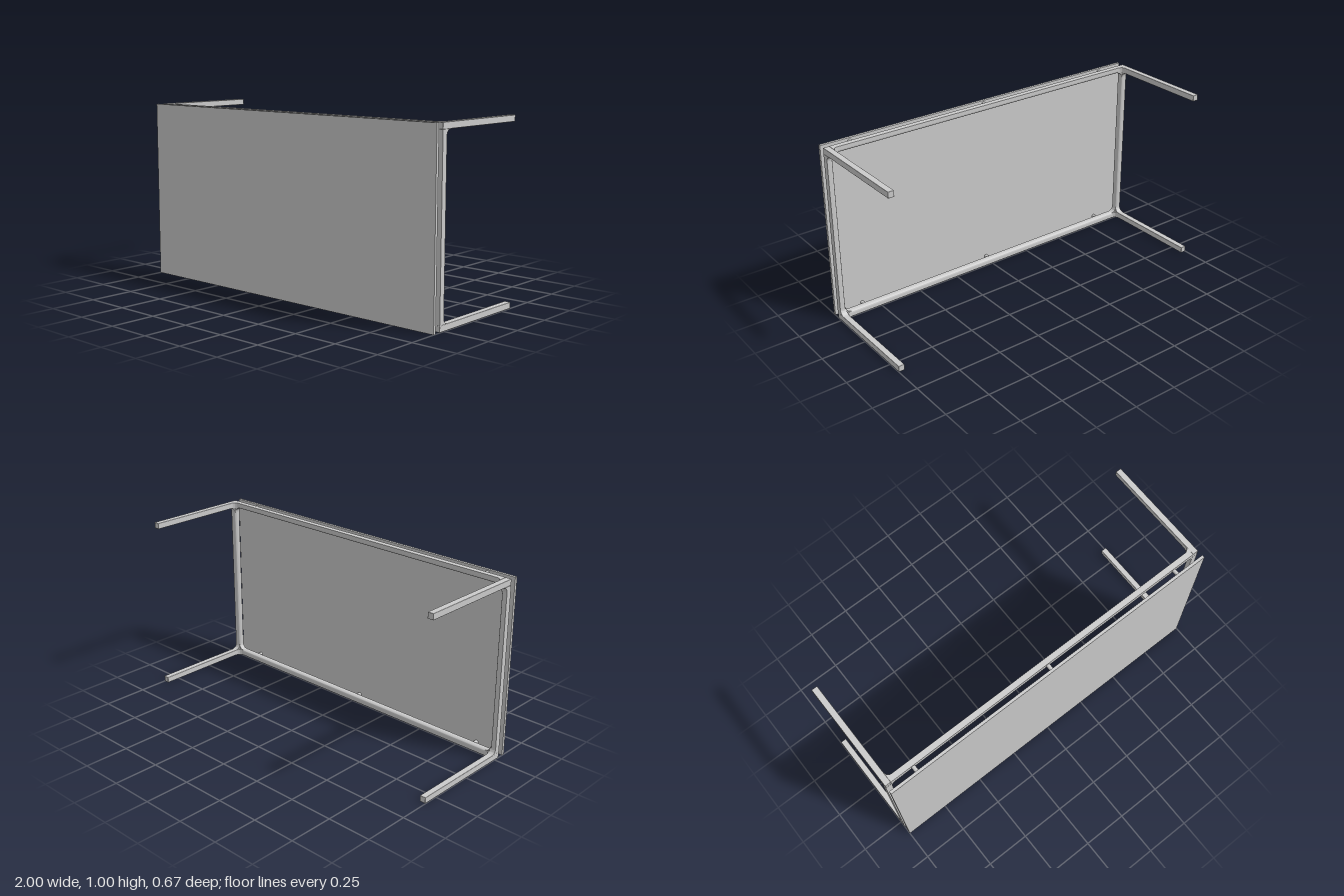
import * as THREE from 'three';
import { RoundedBoxGeometry } from 'three/addons/geometries/RoundedBoxGeometry.js';
import { toCreasedNormals } from 'three/addons/utils/BufferGeometryUtils.js';

const T = 0.034;                    // bar thickness
const FRONT = 0.285, BACK = 0.253;  // rail depth range
const LEG_END = -0.333;
const R = 0.03;                     // corner fillet radius

export function createModel() {
  const model = new THREE.Group();
  model.name = 'table';
  const material = new THREE.MeshStandardMaterial({ color: 0xcccccc });

  const add = (parent, name, geometry, x, y, z) => {
    const mesh = new THREE.Mesh(geometry, material);
    mesh.name = name;
    mesh.position.set(x, y, z);
    parent.add(mesh);
    return mesh;
  };
  const extrude = (shape, depth) => toCreasedNormals(
    new THREE.ExtrudeGeometry(shape, { depth, bevelEnabled: false, curveSegments: 8 }), 0.6);

  // Thin table top, standing upright
  add(model, 'tableTop', new THREE.BoxGeometry(2, 1, 0.016), 0, 0.5, 0.325);

  // Rail section with its inner edge rounded
  const d = FRONT - BACK, e = 0.014;
  const railShape = new THREE.Shape();
  railShape.moveTo(0, 0);
  railShape.lineTo(d, 0);
  railShape.lineTo(d, T - e);
  railShape.absarc(d - e, T - e, e, 0, Math.PI / 2, false);
  railShape.lineTo(0, T);

  // Concave fillet between two bars
  const filletShape = new THREE.Shape();
  filletShape.moveTo(0, 0);
  filletShape.lineTo(R, 0);
  filletShape.absarc(R, R, R, -Math.PI / 2, -Math.PI, true);
  filletShape.lineTo(0, 0);

  // Each corner carries a leg, its fillets and the rail to the next corner
  const corners = [[-1, 0, 2], [1, 0, 1], [1, 1, 2], [-1, 1, 1]];
  corners.forEach(([x, y, length], i) => {
    const corner = new THREE.Group();
    corner.name = 'frameCorner' + (i + 1);
    corner.position.set(x, y, 0);
    corner.rotation.z = i * Math.PI / 2;
    model.add(corner);

    add(corner, 'leg', new RoundedBoxGeometry(T, T, FRONT - LEG_END, 2, 0.003),
      T / 2, T / 2, (FRONT + LEG_END) / 2);
    add(corner, 'rail', extrude(railShape, length - 2 * T).rotateY(Math.PI / 2), T, 0, FRONT);

    add(corner, 'railFillet', extrude(filletShape, d), T, T, BACK);
    add(corner, 'legFilletAlongRail', extrude(filletShape, T).rotateX(-Math.PI / 2), T, 0, BACK);
    add(corner, 'legFilletAcrossRail', extrude(filletShape, T).rotateY(Math.PI / 2), 0, T, BACK);
  });

  // Round spacers holding the top off the frame
  for (const x of [-0.835, 0, 0.835]) {
    for (const y of [0.018, 0.982]) {
      add(model, 'spacer', new THREE.CylinderGeometry(0.011, 0.011, 0.034, 20).rotateX(Math.PI / 2),
        x, y, 0.301);
    }
  }
  return model;
}
